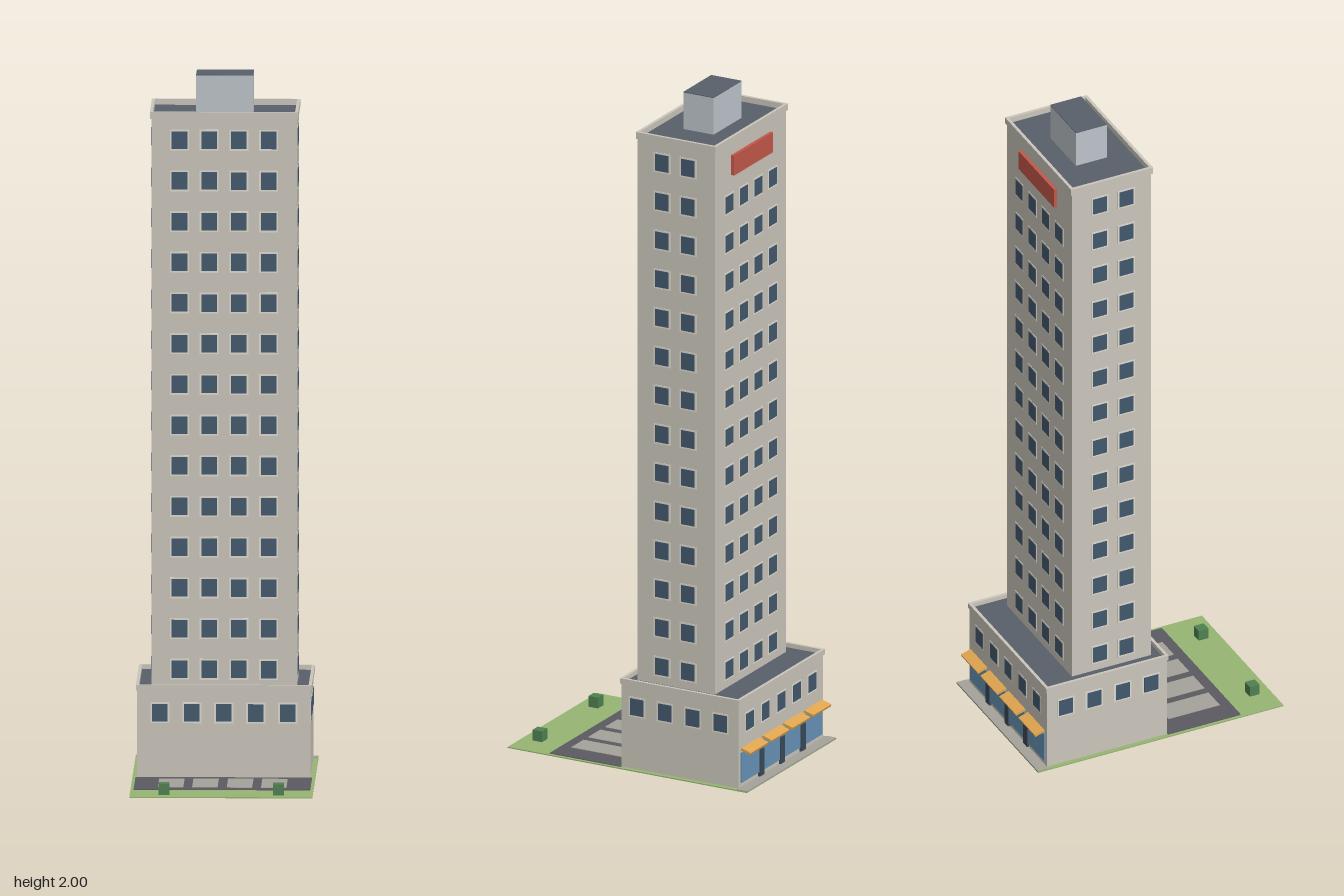
import * as THREE from 'three';

const mat = (color) => new THREE.MeshStandardMaterial({ color });
const M = {
  wall: mat(0xcac5bb), frame: mat(0xdedad0), pane: mat(0x42586c), roof: mat(0x585f69),
  plant: mat(0xbcc3c9), grass: mat(0x96b573), asphalt: mat(0x5a5a60), paving: mat(0xa5a29b),
  hedge: mat(0x4f8050), awning: mat(0xe0a550), glass: mat(0x6591b5), door: mat(0x3a4a58), sign: mat(0xc4574a),
};

// Box given by its extents on each axis
function box(parent, name, material, [x0, x1], [y0, y1], [z0, z1]) {
  const mesh = new THREE.Mesh(new THREE.BoxGeometry(x1 - x0, y1 - y0, z1 - z0), material);
  mesh.position.set((x0 + x1) / 2, (y0 + y1) / 2, (z0 + z1) / 2);
  mesh.name = name;
  parent.add(mesh);
  return mesh;
}

// Rectangular rim around a roof
function parapet(parent, name, [x0, x1], [y0, y1], [z0, z1], t) {
  const rect = (path, a, b, c, d) => path.moveTo(a, c).lineTo(b, c).lineTo(b, d).lineTo(a, d).closePath();
  const shape = rect(new THREE.Shape(), x0, x1, -z1, -z0);
  shape.holes.push(rect(new THREE.Path(), x0 + t, x1 - t, -z1 + t, -z0 - t));
  const geo = new THREE.ExtrudeGeometry(shape, { depth: y1 - y0, bevelEnabled: false });
  geo.rotateX(-Math.PI / 2);
  const mesh = new THREE.Mesh(geo, M.wall);
  mesh.position.y = y0;
  mesh.name = name;
  parent.add(mesh);
}

// Framed window, facing outward along the given heading
function makeWindow(parent, x, y, z, heading) {
  const w = new THREE.Group();
  w.name = 'window';
  box(w, 'windowFrame', M.frame, [-0.027, 0.027], [-0.03, 0.03], [-0.002, 0.001]);
  box(w, 'windowPane', M.pane, [-0.022, 0.022], [-0.025, 0.025], [-0.002, 0.002]);
  w.position.set(x, y, z);
  w.rotation.y = heading;
  parent.add(w);
}

// Block with walls, recessed roof and rim
function block(parent, name, x, y0, y1, z0, z1, rimHeight) {
  const g = new THREE.Group();
  g.name = name;
  const base = y1 - rimHeight, o = 0.004;
  box(g, name + 'Walls', M.wall, [-x, x], [y0, base], [z0, z1]);
  box(g, name + 'Roof', M.roof, [-x, x], [base, base + 0.003], [z0, z1]);
  parapet(g, name + 'Parapet', [-x - o, x + o], [base, y1], [z0 - o, z1 + o], 0.009);
  parent.add(g);
  return g;
}

export function createModel() {
  const root = new THREE.Group();
  root.name = 'towerBuilding';

  // Site: lawn, pavement, parking bays and hedges
  const site = new THREE.Group();
  site.name = 'site';
  root.add(site);
  box(site, 'lawn', M.grass, [-0.259, 0.259], [0.0008, 0.004], [-0.388, 0.388]);
  box(site, 'parkingLot', M.asphalt, [-0.25, 0.25], [0, 0.006], [0.028, 0.257]);
  box(site, 'pavement', M.paving, [-0.258, 0.258], [0.002, 0.006], [-0.388, -0.355]);
  for (const x of [-0.146, -0.049, 0.049, 0.146])
    box(site, 'parkingBay', M.paving, [x - 0.036, x + 0.036], [0.004, 0.0075], [0.063, 0.225]);
  for (const x of [-0.162, 0.162])
    box(site, 'hedge', M.hedge, [x - 0.0155, x + 0.0155], [0.003, 0.036], [0.322, 0.353]);

  // Podium with one row of windows on all sides
  const podium = block(root, 'podium', 0.245, 0.002, 0.27, -0.353, 0.026, 0.016);
  for (let i = -2; i <= 2; i++) {
    makeWindow(podium, i * 0.0905, 0.19, 0.026, 0);
    makeWindow(podium, i * 0.0905, 0.19, -0.353, Math.PI);
  }
  for (let i = 0; i < 4; i++)
    for (const s of [-1, 1]) makeWindow(podium, s * 0.245, 0.19, -0.024 - i * 0.09, s * Math.PI / 2);

  // Shopfronts along the back
  const shops = new THREE.Group();
  shops.name = 'shopfronts';
  root.add(shops);
  for (const x of [-0.182, -0.06, 0.06, 0.182]) {
    box(shops, 'shopGlass', M.glass, [x - 0.052, x + 0.052], [0.018, 0.108], [-0.357, -0.352]);
    const awning = box(shops, 'awning', M.awning, [x - 0.052, x + 0.052], [0.111, 0.118], [-0.386, -0.354]);
    awning.rotation.x = -0.3;
  }
  for (const x of [-0.12, 0, 0.12])
    box(shops, 'shopDoor', M.door, [x - 0.012, x + 0.012], [0.004, 0.085], [-0.36, -0.352]);

  // Tower with a regular window grid; the sign replaces the top row at the back
  const tower = block(root, 'tower', 0.206, 0.25, 1.905, -0.255, -0.004, 0.02);
  const rows = 14;
  for (let r = 0; r < rows; r++) {
    const y = 0.31 + r * 0.1165;
    for (const x of [-0.126, -0.042, 0.042, 0.126]) {
      makeWindow(tower, x, y, -0.004, 0);
      if (r < rows - 1) makeWindow(tower, x, y, -0.255, Math.PI);
    }
    for (const s of [-1, 1])
      for (const z of [-0.083, -0.167]) makeWindow(tower, s * 0.206, y, z, s * Math.PI / 2);
  }
  box(tower, 'signBoard', M.sign, [-0.113, 0.113], [1.79, 1.85], [-0.265, -0.254]);

  // Rooftop plant room
  box(tower, 'plantRoom', M.plant, [-0.081, 0.081], [1.88, 1.998], [-0.18, -0.082]);
  box(tower, 'plantRoomRoof', M.roof, [-0.081, 0.081], [1.998, 2.0], [-0.18, -0.082]);

  return root;
}
